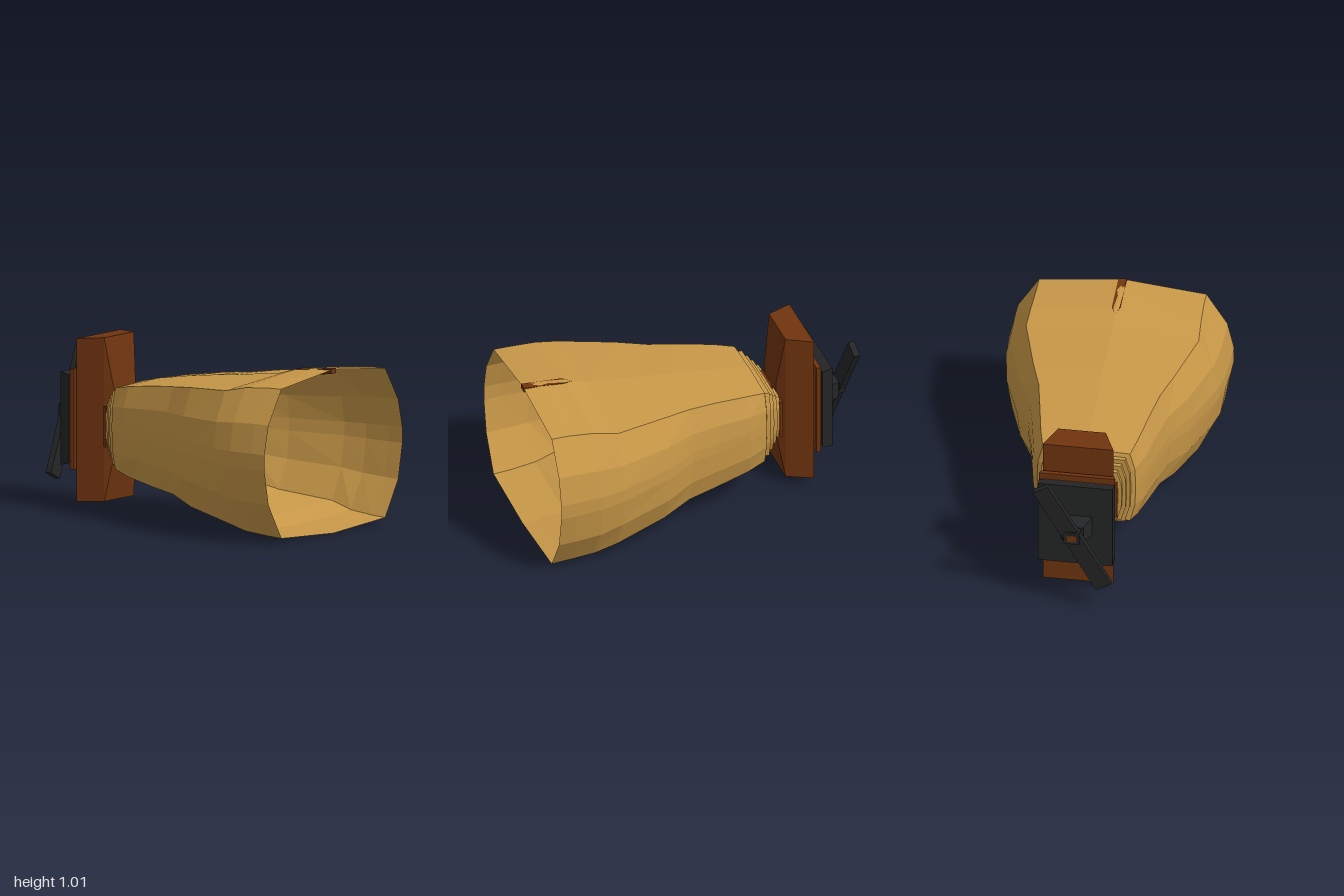
import * as THREE from 'three';

const mat = (name, color, side = THREE.FrontSide) =>
  Object.assign(new THREE.MeshStandardMaterial({ color, flatShading: true, side }), { name });

// Skin rings of [x, y, z] points (counter-clockwise from the front) ordered front to back
function loft(rings, capFront = true, capBack = true) {
  const pos = [], n = rings[0].length;
  const tri = (a, b, c) => pos.push(...a, ...b, ...c);
  for (let r = 0; r < rings.length - 1; r++) {
    for (let i = 0; i < n; i++) {
      const j = (i + 1) % n, a = rings[r], b = rings[r + 1];
      tri(a[i], b[i], b[j]);
      tri(a[i], b[j], a[j]);
    }
  }
  const first = rings[0], last = rings[rings.length - 1];
  for (let i = 1; i < n - 1; i++) {
    if (capFront) tri(first[0], first[i], first[i + 1]);
    if (capBack) tri(last[0], last[i + 1], last[i]);
  }
  const g = new THREE.BufferGeometry();
  g.setAttribute('position', new THREE.Float32BufferAttribute(pos, 3));
  g.computeVertexNormals();
  return g;
}

// Rectangular ring: depth, half width, bottom, top
const rect = ([z, w, y0, y1]) => [[-w, y0, z], [w, y0, z], [w, y1, z], [-w, y1, z]];

// Horn ring, mirrored left to right
function hornRing([z, w, cornerX, top, cornerTop, cornerBottom, bottom]) {
  const t = THREE.MathUtils.clamp((1 - z) / 1.4, 0, 1);
  const sideX = w * (0.94 + 0.045 * t);
  const h = cornerTop - cornerBottom;
  const at = (f) => cornerBottom + h * f;
  const half = [
    [cornerX, cornerBottom], [sideX, at(0.24)], [w, at(0.475)],
    [w, at(0.58)], [sideX, at(0.775)], [cornerX, cornerTop],
  ];
  return [
    [0, bottom, z], ...half.map(([x, y]) => [x, y, z]),
    [0, top, z], ...half.slice().reverse().map(([x, y]) => [-x, y, z]),
  ];
}

export function createModel() {
  const model = new THREE.Group();
  model.name = 'hornModel';
  const tan = mat('tan', 0xc89848, THREE.DoubleSide);
  const brown = mat('brown', 0x70340f);
  const black = mat('black', 0x242526);
  const add = (name, geometry, material) => {
    const mesh = new THREE.Mesh(geometry, material);
    mesh.name = name;
    model.add(mesh);
    return mesh;
  };
  const block = (name, material, ...sections) => add(name, loft(sections.map(rect)), material);

  // Flared open horn: z, half width, corner x, top, corner top, corner bottom, bottom
  const rows = [
    [1, 0.652, 0.49, 0.96, 0.905, 0.03, 0],
    [0.9, 0.652, 0.49, 0.957, 0.903, 0.035, 0.005],
    [0.74, 0.645, 0.497, 0.94, 0.89, 0.05, 0.02],
    [0.6, 0.62, 0.505, 0.9, 0.86, 0.09, 0.07],
    [0.28, 0.51, 0.415, 0.86, 0.835, 0.135, 0.115],
    [0.1, 0.42, 0.355, 0.84, 0.815, 0.185, 0.17],
    [-0.06, 0.38, 0.325, 0.82, 0.80, 0.205, 0.195],
    [-0.28, 0.335, 0.285, 0.785, 0.77, 0.24, 0.23],
    [-0.4, 0.288, 0.255, 0.757, 0.747, 0.27, 0.257],
  ];
  // Stepped collar at the throat
  for (let i = 0; i < 4; i++) {
    const w = 0.262 - i * 0.021, top = 0.733 - i * 0.027, bottom = 0.28 + i * 0.025;
    const z = -0.41 - i * 0.027;
    for (const zz of [z, z - 0.026]) {
      rows.push([zz, w, w * 0.88, top, top - 0.008, bottom + 0.008, bottom]);
    }
  }
  add('horn', loft(rows.map(hornRing), false, true), tan);

  // Pointed sight strip laid into the top of the rim
  const outline = new THREE.Shape([[-0.025, -1], [0.025, -1], [0.025, -0.75], [0, -0.69], [-0.025, -0.75]]
    .map(([x, y]) => new THREE.Vector2(x, y)));
  const strip = new THREE.ExtrudeGeometry(outline, { depth: 0.028, bevelEnabled: false });
  strip.rotateX(-Math.PI / 2);
  const p = strip.attributes.position;
  for (let i = 0; i < p.count; i++) {
    const z = p.getZ(i);
    const surface = z > 0.9 ? 0.96 : 0.94 - (0.75 - z) * 0.29;
    p.setY(i, p.getY(i) + surface - 0.025);
  }
  strip.computeVertexNormals();
  add('sightStrip', strip, brown);

  // Plug inside the throat
  block('throatPlug', brown, [-0.43, 0.06, 0.43, 0.63], [-0.51, 0.135, 0.42, 0.63]);
  block('throatCore', brown, [-0.44, 0.06, 0.37, 0.66], [-0.51, 0.09, 0.36, 0.665]);
  block('throatPin', tan, [-0.4, 0.075, 0.39, 0.54], [-0.5, 0.075, 0.39, 0.54]);

  // Tall mounting block and its backing plates
  block('collarPlate', brown, [-0.512, 0.2, 0.38, 0.62], [-0.53, 0.2, 0.38, 0.62]);
  block('mountBlock', brown,
    [-0.525, 0.1, 0.33, 0.69], [-0.57, 0.14, 0.05, 1.01], [-0.72, 0.207, 0.045, 1.0]);
  block('spacer', brown, [-0.715, 0.19, 0.27, 0.78], [-0.78, 0.19, 0.27, 0.78]);
  block('brownPlate', brown, [-0.732, 0.215, 0.23, 0.82], [-0.758, 0.222, 0.23, 0.82]);
  block('blackPlate', black, [-0.768, 0.222, 0.265, 0.785], [-0.83, 0.217, 0.25, 0.797]);

  // Hub with a small brown end cap
  block('hubNeck', black, [-0.825, 0.1, 0.46, 0.59], [-0.925, 0.062, 0.475, 0.575]);
  block('hub', black, [-0.91, 0.05, 0.485, 0.57], [-0.978, 0.045, 0.49, 0.57]);
  block('hubCap', brown, [-0.977, 0.026, 0.508, 0.552], [-0.981, 0.026, 0.508, 0.552]);

  // Slanted crank bar
  const bar = add('crankBar', new THREE.BoxGeometry(0.1, 0.79, 0.038), black);
  const along = new THREE.Vector3(0.36, 0.7, -0.062).normalize();
  const across = new THREE.Vector3(0.89, -0.457, -0.04);
  across.addScaledVector(along, -across.dot(along)).normalize();
  bar.quaternion.setFromRotationMatrix(
    new THREE.Matrix4().makeBasis(across, along, across.clone().cross(along)));
  bar.position.set(0, 0.523, -0.947);

  return model;
}
